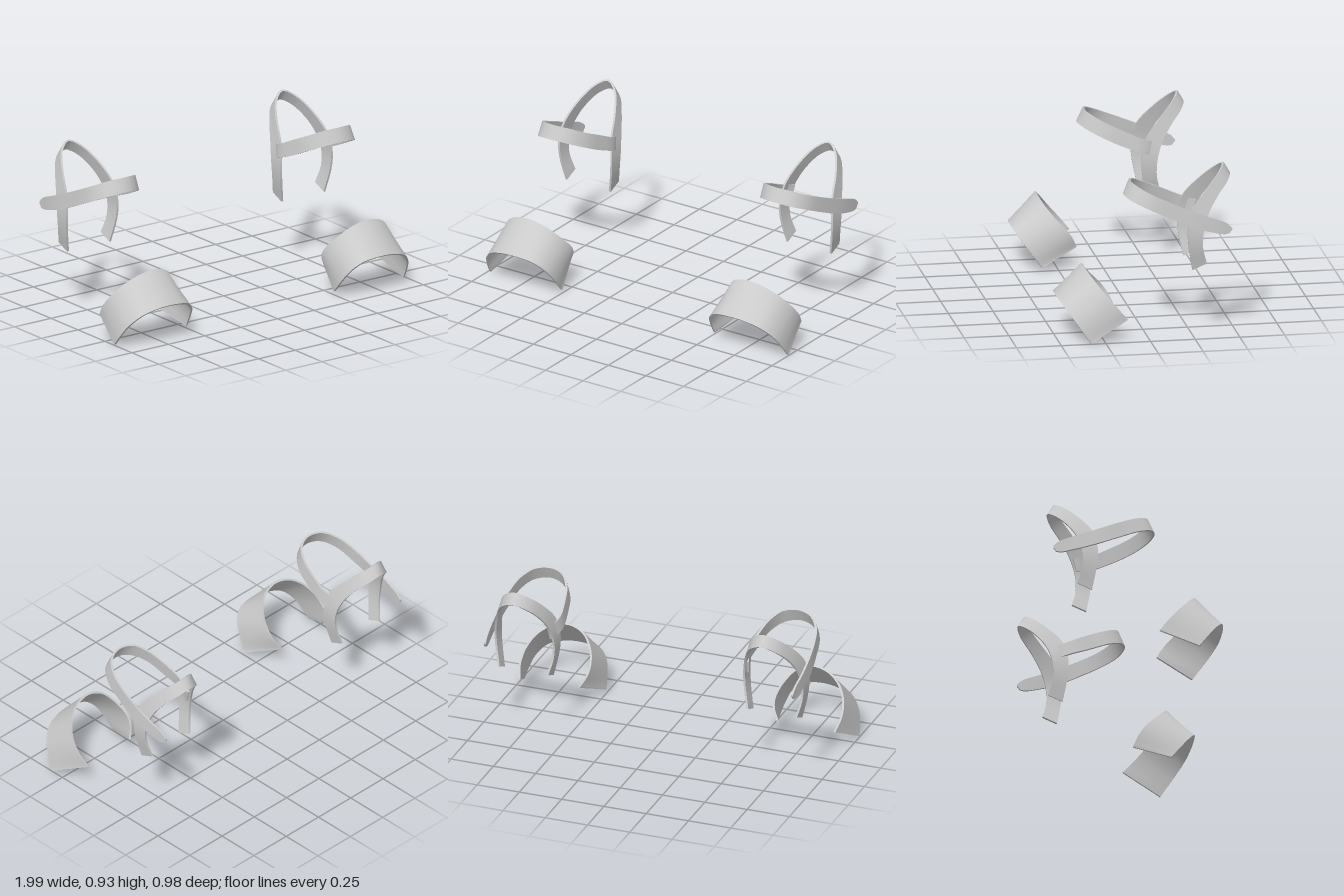
import * as THREE from 'three';

const THICKNESS = 0.012;
const STATIONS = 48;
const material = new THREE.MeshStandardMaterial({ color: 0xcccccc, side: THREE.DoubleSide });

const curve = (points, side) =>
  new THREE.CatmullRomCurve3(points.map(([x, y, z]) => new THREE.Vector3(x * side, y, z)), false, 'centripetal');

// Thin band swept between two edge curves, thickened towards the foot
function strap(name, edgeA, edgeB, side) {
  let a = curve(edgeA, side).getSpacedPoints(STATIONS);
  let b = curve(edgeB, side).getSpacedPoints(STATIONS);
  if (side < 0) [a, b] = [b, a];
  const mid = a.map((p, i) => p.clone().add(b[i]).multiplyScalar(0.5));

  const sections = a.map((p, i) => {
    const tangent = mid[Math.min(i + 1, STATIONS)].clone().sub(mid[Math.max(i - 1, 0)]);
    const inward = p.clone().sub(b[i]).cross(tangent).normalize().multiplyScalar(-THICKNESS);
    return [p, b[i], b[i].clone().add(inward), p.clone().add(inward)];
  });

  const positions = [];
  const index = [];
  const add = (p) => positions.push(p.x, p.y, p.z) / 3 - 1;

  // Four faces along the band, each with its own vertices for crisp edges
  for (let k = 0; k < 4; k++) {
    const rows = sections.map((s) => [add(s[k]), add(s[(k + 1) % 4])]);
    for (let i = 0; i < STATIONS; i++) {
      const [p, q] = rows[i];
      const [r, s] = rows[i + 1];
      index.push(p, r, s, p, s, q);
    }
  }
  // End caps
  const first = sections[0].map(add);
  const last = sections[STATIONS].map(add);
  index.push(first[0], first[1], first[2], first[0], first[2], first[3]);
  index.push(last[0], last[2], last[1], last[0], last[3], last[2]);

  const geometry = new THREE.BufferGeometry();
  geometry.setAttribute('position', new THREE.Float32BufferAttribute(positions, 3));
  geometry.setIndex(index);
  geometry.computeVertexNormals();
  const mesh = new THREE.Mesh(geometry, material);
  mesh.name = name;
  return mesh;
}

// Completes a half arch by mirroring it about the middle of the foot
const FOOT_X = 0.735;
const arch = (half) => [
  ...half,
  ...half.slice(0, -1).reverse().map(([x, y, z]) => [2 * FOOT_X - x, y, z]),
];

// Wide toe strap, from the inner to the outer side of the foot
const toeFront = [
  [0.503, 0.02, 0.34], [0.52, 0.1, 0.4], [0.545, 0.16, 0.445], [0.6, 0.205, 0.478], [0.7, 0.22, 0.487],
  [0.8, 0.215, 0.482], [0.9, 0.185, 0.46], [0.96, 0.125, 0.415], [0.985, 0.06, 0.37], [0.997, 0.003, 0.33],
];
const toeBack = [
  [0.583, 0.108, 0.135], [0.548, 0.17, 0.165], [0.54, 0.22, 0.2], [0.565, 0.29, 0.265], [0.63, 0.36, 0.32],
  [0.72, 0.388, 0.338], [0.82, 0.372, 0.325], [0.9, 0.32, 0.285], [0.945, 0.25, 0.23], [0.955, 0.18, 0.17],
  [0.937, 0.113, 0.115],
];

// Instep strap, from its long rounded outer end round to the short inner end
const instepTop = [
  [0.914, 0.605, -0.472], [0.916, 0.632, -0.445], [0.922, 0.675, -0.34], [0.92, 0.71, -0.25],
  [0.908, 0.765, -0.12], [0.88, 0.81, -0.02], [0.82, 0.845, 0.05], [0.735, 0.855, 0.075],
  [0.65, 0.845, 0.05], [0.595, 0.81, -0.02], [0.567, 0.765, -0.12], [0.556, 0.715, -0.23], [0.585, 0.685, -0.33],
];
const instepBottom = [
  [0.914, 0.595, -0.472], [0.916, 0.572, -0.45], [0.926, 0.59, -0.35], [0.927, 0.625, -0.24],
  [0.912, 0.68, -0.11], [0.89, 0.73, 0], [0.835, 0.765, 0.08], [0.735, 0.78, 0.108],
  [0.645, 0.765, 0.075], [0.585, 0.73, 0], [0.558, 0.68, -0.11], [0.546, 0.635, -0.23], [0.578, 0.61, -0.31],
];

// Heel strap, an arch leaning back over the heel
const heelFront = arch([
  [0.885, 0.365, -0.255], [0.91, 0.5, -0.23], [0.915, 0.6, -0.225], [0.9, 0.71, -0.25],
  [0.865, 0.815, -0.335], [0.805, 0.9, -0.42], [FOOT_X, 0.935, -0.455],
]);
const heelBack = arch([
  [0.885, 0.4, -0.335], [0.908, 0.5, -0.31], [0.912, 0.6, -0.315], [0.895, 0.69, -0.345],
  [0.86, 0.775, -0.4], [0.805, 0.845, -0.465], [FOOT_X, 0.875, -0.49],
]);

export function createModel() {
  const model = new THREE.Group();
  model.name = 'sandalStraps';
  for (const [name, side] of [['leftSandal', 1], ['rightSandal', -1]]) {
    const sandal = new THREE.Group();
    sandal.name = name;
    sandal.add(
      strap('toeStrap', toeFront, toeBack, side),
      strap('instepStrap', instepTop, instepBottom, side),
      strap('heelStrap', heelBack, heelFront, side),
    );
    model.add(sandal);
  }
  return model;
}
